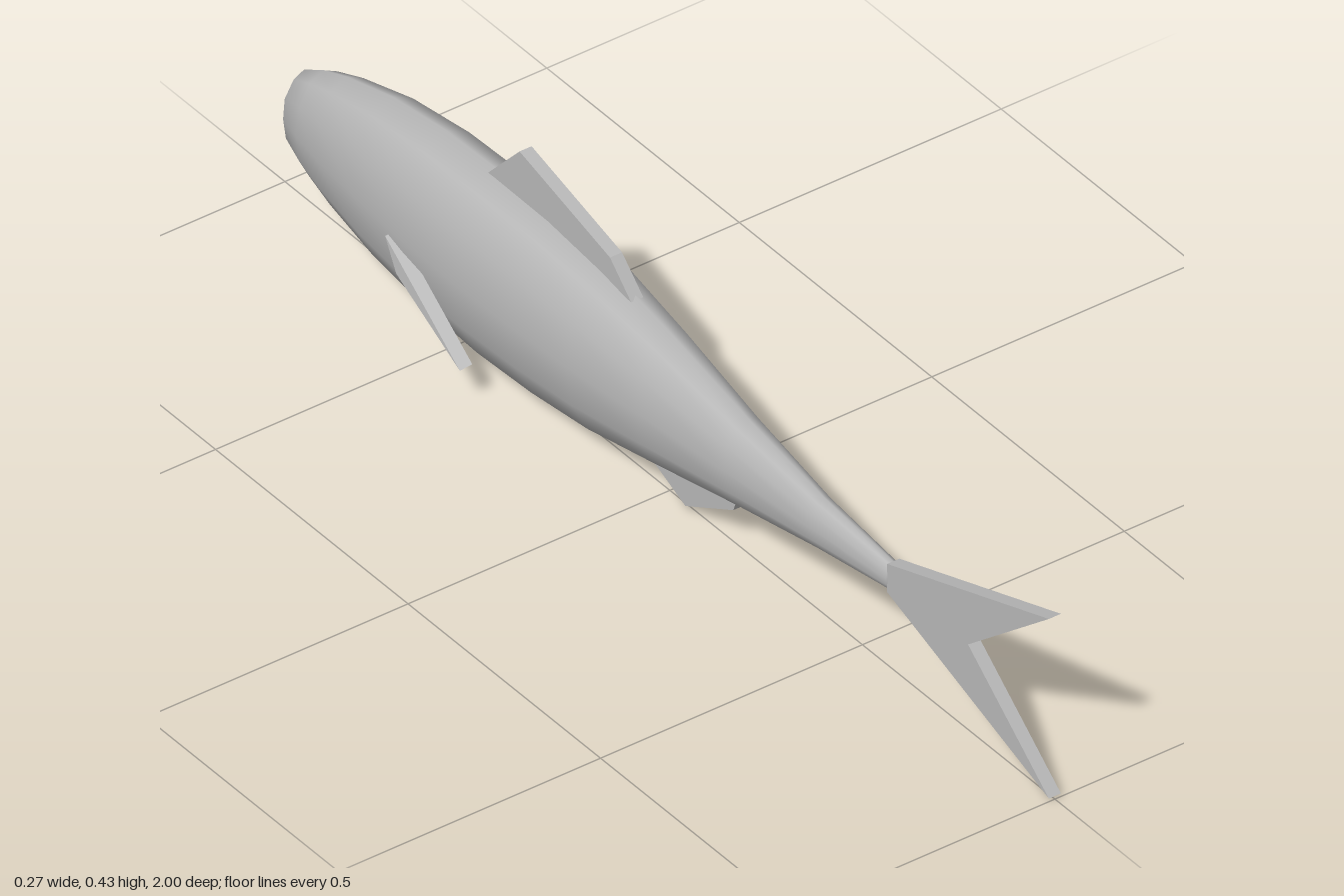
import * as THREE from 'three';

const grey = new THREE.MeshStandardMaterial({ color: 0xb8b8b8 });
grey.name = 'fishGrey';

// Body stations along the fish: [z, bottom y, top y]
const STATIONS = [
  [-1, 0.158, 0.16], [-0.95, 0.09, 0.245], [-0.9, 0.068, 0.273], [-0.84, 0.05, 0.296],
  [-0.72, 0.025, 0.328], [-0.58, 0.008, 0.346], [-0.44, 0.002, 0.35], [-0.3, 0.008, 0.348],
  [-0.16, 0.022, 0.333], [0, 0.052, 0.303], [0.2, 0.091, 0.259], [0.4, 0.127, 0.224],
  [0.58, 0.154, 0.208], [0.582, 0.18, 0.182],
];
const SIDES = 12;
const WIDTH_RATIO = 0.52;

// Smooth twelve-sided body lofted through oval rings
function bodyGeometry() {
  const positions = [], index = [];
  STATIONS.forEach(([z, low, high], i) => {
    const half = (high - low) / 2;
    for (let j = 0; j < SIDES; j++) {
      const a = (j / SIDES) * Math.PI * 2;
      positions.push(Math.cos(a) * half * WIDTH_RATIO, (low + high) / 2 + Math.sin(a) * half, z);
      if (i === 0) continue;
      const k = (j + 1) % SIDES;
      const p = (i - 1) * SIDES, q = i * SIDES;
      index.push(p + j, p + k, q + k, p + j, q + k, q + j);
    }
  });
  const geo = new THREE.BufferGeometry();
  geo.setAttribute('position', new THREE.Float32BufferAttribute(positions, 3));
  geo.setIndex(index);
  geo.computeVertexNormals();
  return geo;
}

// Upright fin plate from a [z, y] outline, centred on x = 0
function finGeometry(outline, thickness = 0.023) {
  const shape = new THREE.Shape(outline.map(([z, y]) => new THREE.Vector2(-z, y)));
  const geo = new THREE.ExtrudeGeometry(shape, { depth: thickness, bevelEnabled: false });
  geo.translate(0, 0, -thickness / 2);
  return geo.rotateY(Math.PI / 2);
}

// Slanted triangular side fin; side is +1 (left) or -1 (right)
function sideFinGeometry(side) {
  const outer = [[0.088, 0.16, -0.62], [0.1, 0.12, -0.575], [0.135, 0.075, -0.362]];
  const inner = outer.map(([x, y, z]) => [x - 0.02, y + 0.007, z + 0.005]);
  const points = [...outer, ...inner].map(([x, y, z]) => [x * side, y, z]);
  const faces = [[0, 2, 1], [3, 4, 5]];
  for (let i = 0; i < 3; i++) {
    const j = (i + 1) % 3;
    faces.push([i, j, j + 3], [i, j + 3, i + 3]);
  }
  // Mirroring reverses the winding, so flip it on the right side
  const corners = faces.flatMap((f) => (side > 0 ? f : [...f].reverse()));
  const geo = new THREE.BufferGeometry();
  geo.setAttribute('position', new THREE.Float32BufferAttribute(corners.flatMap((c) => points[c]), 3));
  geo.computeVertexNormals();
  return geo;
}

export function createModel() {
  const fish = new THREE.Group();
  fish.name = 'fish';
  const add = (name, geo) => {
    const mesh = new THREE.Mesh(geo, grey);
    mesh.name = name;
    fish.add(mesh);
  };

  add('body', bodyGeometry());
  add('tailFin', finGeometry([[0.58, 0.208], [1, 0.35], [0.79, 0.178], [1, 0.008], [0.58, 0.154]]));
  add('dorsalFin', finGeometry([[-0.46, 0.34], [-0.375, 0.432], [-0.14, 0.368], [-0.085, 0.315]]));
  add('analFin', finGeometry([[-0.06, 0.06], [0.056, 0.01], [0.18, 0.075], [0.19, 0.1]]));
  add('leftPectoralFin', sideFinGeometry(1));
  add('rightPectoralFin', sideFinGeometry(-1));
  return fish;
}
